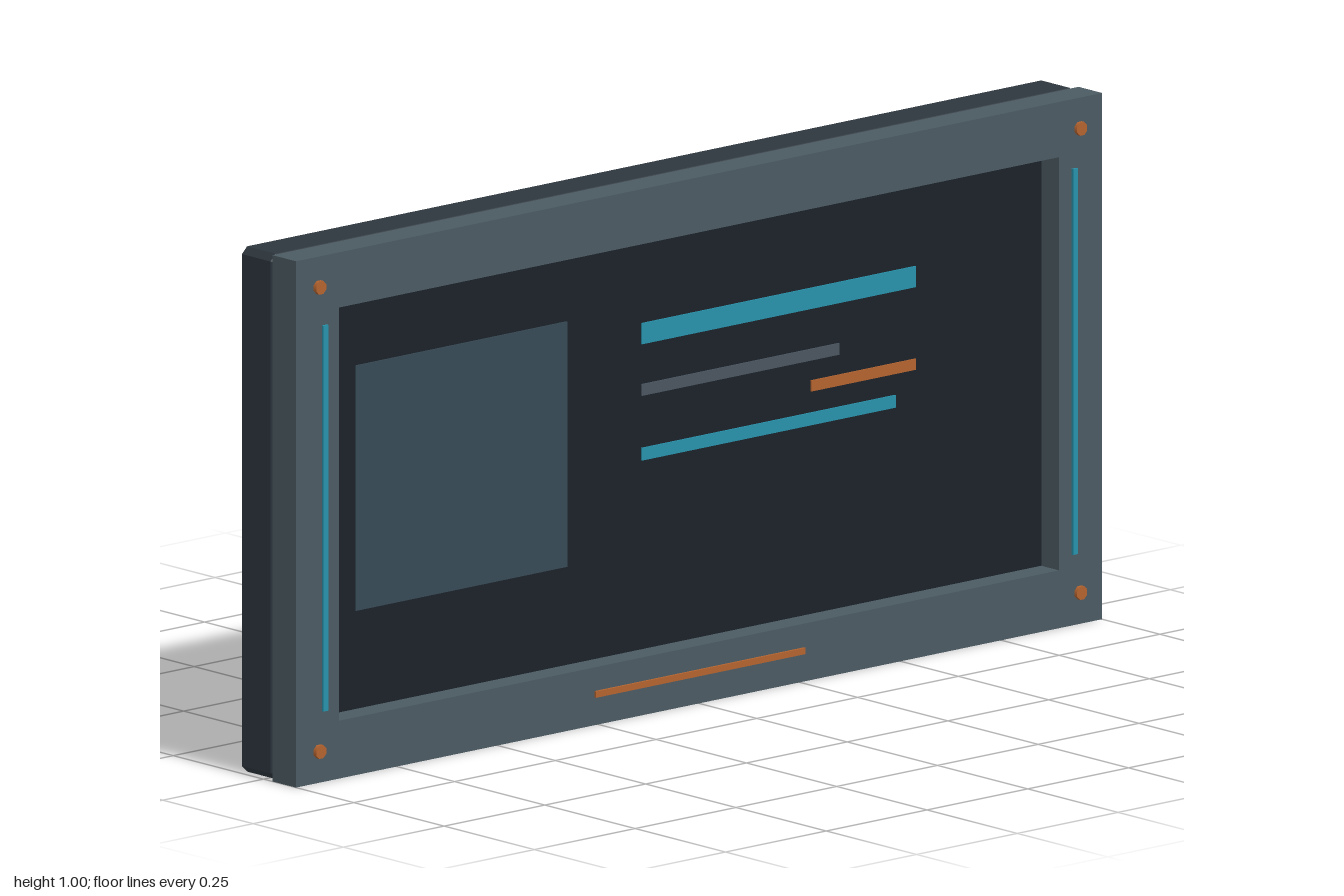
import * as THREE from 'three';

const mat = (color) => new THREE.MeshStandardMaterial({ color });

export function createModel() {
  const model = new THREE.Group();
  const steel = mat(0x4b5a62), shellMat = mat(0x2d363e), dark = mat(0x1a2229);
  const cyan = mat(0x2792ab), orange = mat(0xb3632f), tile = mat(0x364955), grey = mat(0x4a5560);

  const add = (name, geometry, material) => {
    const mesh = new THREE.Mesh(geometry, material);
    mesh.name = name;
    model.add(mesh);
    return mesh;
  };
  // Box given by its limits on each axis
  const block = (name, material, x0, x1, y0, y1, z0, z1) =>
    add(name, new THREE.BoxGeometry(x1 - x0, y1 - y0, z1 - z0), material)
      .position.set((x0 + x1) / 2, (y0 + y1) / 2, (z0 + z1) / 2);

  // Rear housing: rectangle with cut corners and chamfered edges
  const b = 0.008, w = 0.998 - b, lo = 0.001 + b, hi = 0.999 - b;
  const outline = new THREE.Shape([
    [-w + b, lo], [w - b, lo], [w, lo + b], [w, hi - b],
    [w - b, hi], [-w + b, hi], [-w, hi - b], [-w, lo + b],
  ].map(([x, y]) => new THREE.Vector2(x, y)));
  const shell = new THREE.ExtrudeGeometry(outline, {
    depth: 0.095 - 2 * b, bevelThickness: b, bevelSize: b, bevelSegments: 1,
  });
  add('rearHousing', shell, shellMat).position.z = -0.07 + b;

  // Front frame with a rectangular opening
  const rect = (Type, x, y0, y1) => new Type([
    new THREE.Vector2(-x, y0), new THREE.Vector2(x, y0),
    new THREE.Vector2(x, y1), new THREE.Vector2(-x, y1),
  ]);
  const face = rect(THREE.Shape, 1, 0, 1);
  face.holes.push(rect(THREE.Path, 0.893, 0.11, 0.895));
  add('frontFrame', new THREE.ExtrudeGeometry(face, { depth: 0.065, bevelEnabled: false }), steel)
    .position.z = 0.025;

  // Recessed screen and the panels shown on it
  block('screen', dark, -0.9, 0.9, 0.1, 0.9, 0.02, 0.041);
  const onScreen = (name, material, x0, x1, y0, y1) =>
    block(name, material, x0, x1, y0, y1, 0.038, 0.044);
  onScreen('imagePanel', tile, -0.81, -0.285, 0.297, 0.763);
  onScreen('titleBar', cyan, -0.1, 0.58, 0.69, 0.73);
  onScreen('greyBar', grey, -0.1, 0.39, 0.592, 0.614);
  onScreen('orangeBar', orange, 0.32, 0.58, 0.533, 0.554);
  onScreen('lowerBar', cyan, -0.1, 0.53, 0.469, 0.493);

  // Accent strip along the bottom of the frame
  block('bottomStrip', orange, -0.26, 0.26, 0.053, 0.065, 0.085, 0.095);

  for (const s of [-1, 1]) {
    // Light strip at the side of the frame
    const x = s * 0.93;
    block('sideStrip', cyan, x - 0.006, x + 0.006, 0.135, 0.868, 0.085, 0.095);
    // Mounting rail on the back
    const r = s * 0.783;
    block('rearRail', steel, r - 0.016, r + 0.016, 0.088, 0.913, -0.0975, -0.065);
    // Corner bolts
    for (const y of [0.06, 0.942]) {
      const bolt = new THREE.CylinderGeometry(0.0135, 0.0135, 0.0175, 8);
      bolt.rotateX(Math.PI / 2).rotateZ(Math.PI / 8);
      add('cornerBolt', bolt, orange).position.set(s * 0.944, y, 0.08875);
    }
  }
  return model;
}
